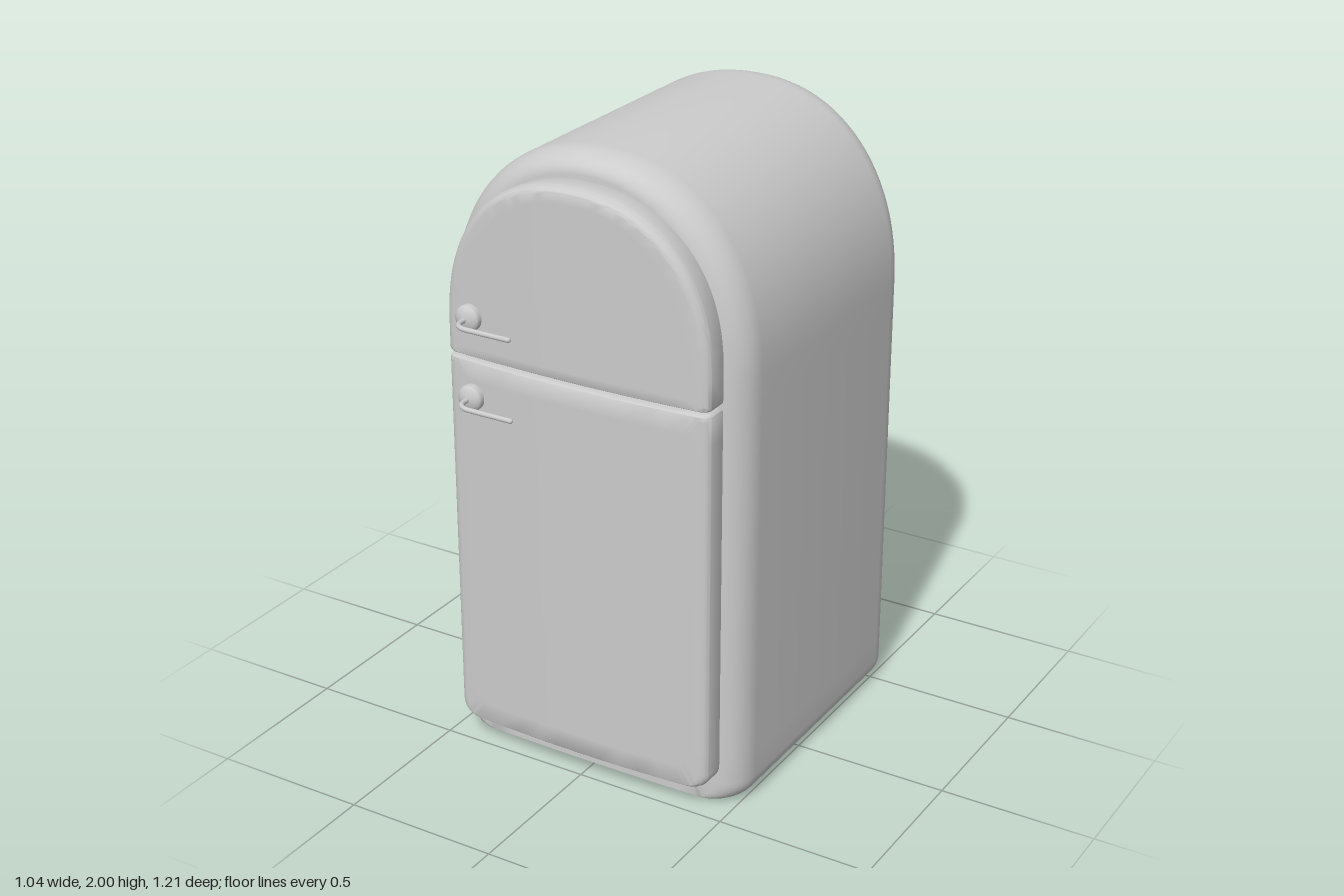
import * as THREE from 'three';
import { toCreasedNormals } from 'three/addons/utils/BufferGeometryUtils.js';

const material = new THREE.MeshStandardMaterial({ color: 0xcccccc });

// Counter-clockwise outline with superelliptic corners: top (rx, ry, n), bottom radius rb
function outline({ w, y0, y1, rx, ry, n, rb }) {
  const corners = [];
  const corner = (cx, cy, ax, ay, start, power, steps) => {
    for (let i = 0; i <= steps; i++) {
      const a = start + (i / steps) * Math.PI / 2;
      const c = Math.cos(a), s = Math.sin(a);
      corners.push([
        cx + ax * Math.sign(c) * Math.abs(c) ** (2 / power),
        cy + ay * Math.sign(s) * Math.abs(s) ** (2 / power),
      ]);
    }
  };
  corner(w - rb, y0 + rb, rb, rb, -Math.PI / 2, 2, 8);
  corner(w - rx, y1 - ry, rx, ry, 0, n, 24);
  corner(rx - w, y1 - ry, rx, ry, Math.PI / 2, n, 24);
  corner(rb - w, y0 + rb, rb, rb, Math.PI, 2, 8);

  // Drop doubled points and split long edges so faces can bulge
  const points = [];
  corners.forEach((p, i) => {
    const q = corners[(i + 1) % corners.length];
    const length = Math.hypot(q[0] - p[0], q[1] - p[1]);
    if (length < 1e-4) return;
    const parts = Math.ceil(length / 0.08);
    for (let k = 0; k < parts; k++) {
      points.push([p[0] + (q[0] - p[0]) * k / parts, p[1] + (q[1] - p[1]) * k / parts]);
    }
  });
  return points;
}

// Rounded, slightly bulging panel: rings run from the back centre to the front centre
function panel(o) {
  const points = outline(o);
  const count = points.length;
  const { w, y0, y1, back, front } = o;
  const rings = [];
  const CAP = 10, ROUND = 8;
  const end = (side, dir) => {
    const list = [];
    for (let i = 0; i <= ROUND; i++) {
      const a = (i / ROUND) * Math.PI / 2;
      list.push({
        inset: 1 - Math.cos(a), k: 1, dir, swell: side.bulge * Math.sin(a),
        z: side.z - dir * side.depth * (1 - Math.sin(a)), side,
      });
    }
    for (let i = 1; i <= CAP; i++) {
      list.push({ inset: 1, k: 1 - i / CAP, dir, swell: side.bulge, z: side.z, side });
    }
    return list;
  };
  rings.push(...end(back, -1).reverse(), ...end(front, 1));

  const position = [], index = [];
  for (const { inset, k, dir, swell, z, side } of rings) {
    const low = y0 + inset * side.bottom, high = y1 - inset * side.top;
    const mid = (low + high) / 2;
    for (const [px, py] of points) {
      const x = px * (1 - inset * side.side / w) * k;
      const y = low + (py - y0) / (y1 - y0) * (high - low);
      position.push(x, mid + (y - mid) * k, z + dir * swell * (1 - (x / w) ** 2));
    }
  }
  for (let i = 0; i < rings.length - 1; i++) {
    for (let j = 0; j < count; j++) {
      const a = i * count + j, b = i * count + (j + 1) % count;
      if (rings[i].k > 0) index.push(a, b, b + count);
      if (rings[i + 1].k > 0) index.push(a, b + count, a + count);
      else if (rings[i].k > 0) continue;
    }
  }
  const geometry = new THREE.BufferGeometry();
  geometry.setAttribute('position', new THREE.Float32BufferAttribute(position, 3));
  geometry.setIndex(index);
  return toCreasedNormals(geometry, 0.65);
}

function addMesh(parent, name, geometry) {
  const mesh = new THREE.Mesh(geometry, material);
  mesh.name = name;
  parent.add(mesh);
  return mesh;
}

// Domed round mount with a bent lever
function makeHandle(name, y) {
  const handle = new THREE.Group();
  handle.name = name;
  const profile = [[0.041, 0], [0.042, 0.018], [0.039, 0.025], [0.03, 0.031], [0.016, 0.036], [0, 0.038]]
    .map(([r, h]) => new THREE.Vector2(r, h));
  const mount = addMesh(handle, 'handleMount', new THREE.LatheGeometry(profile, 32));
  mount.rotation.x = Math.PI / 2;

  const path = new THREE.CurvePath();
  const v = (x, z) => new THREE.Vector3(x, 0, z);
  path.add(new THREE.LineCurve3(v(0, 0.02), v(0, 0.045)));
  path.add(new THREE.CubicBezierCurve3(v(0, 0.045), v(0, 0.075), v(0.018, 0.092), v(0.05, 0.092)));
  path.add(new THREE.LineCurve3(v(0.05, 0.092), v(0.195, 0.092)));
  addMesh(handle, 'handleLever', new THREE.TubeGeometry(path, 40, 0.008, 12));
  const tip = addMesh(handle, 'handleTip', new THREE.SphereGeometry(0.008, 12, 8));
  tip.position.set(0.195, 0, 0.092);

  handle.position.set(-0.355, y, 0.505);
  return handle;
}

export function createModel() {
  const fridge = new THREE.Group();
  fridge.name = 'refrigerator';

  // Arched cabinet
  const cabinetEnd = { side: 0.09, top: 0.06, bottom: 0.008, depth: 0.1, bulge: 0.012 };
  addMesh(fridge, 'cabinet', panel({
    w: 0.52, y0: 0, y1: 2, rx: 0.52, ry: 0.6, n: 2.2, rb: 0.07,
    back: { ...cabinetEnd, z: -0.593 },
    front: { ...cabinetEnd, z: 0.42 },
  }));

  // Two doors with a narrow gap between them
  const doorBack = { side: 0.006, top: 0.006, bottom: 0.003, depth: 0.006, bulge: 0, z: 0.41 };
  const doorFront = { side: 0.03, top: 0.02, bottom: 0.006, depth: 0.025, bulge: 0.02, z: 0.5 };
  addMesh(fridge, 'upperDoor', panel({
    w: 0.45, y0: 1.334, y1: 1.925, rx: 0.45, ry: 0.5, n: 2.25, rb: 0.015,
    back: doorBack, front: doorFront,
  }));
  addMesh(fridge, 'lowerDoor', panel({
    w: 0.45, y0: 0.087, y1: 1.326, rx: 0.015, ry: 0.015, n: 2, rb: 0.05,
    back: doorBack, front: { ...doorFront, top: 0.006 },
  }));

  fridge.add(makeHandle('upperHandle', 1.465), makeHandle('lowerHandle', 1.21));
  return fridge;
}
